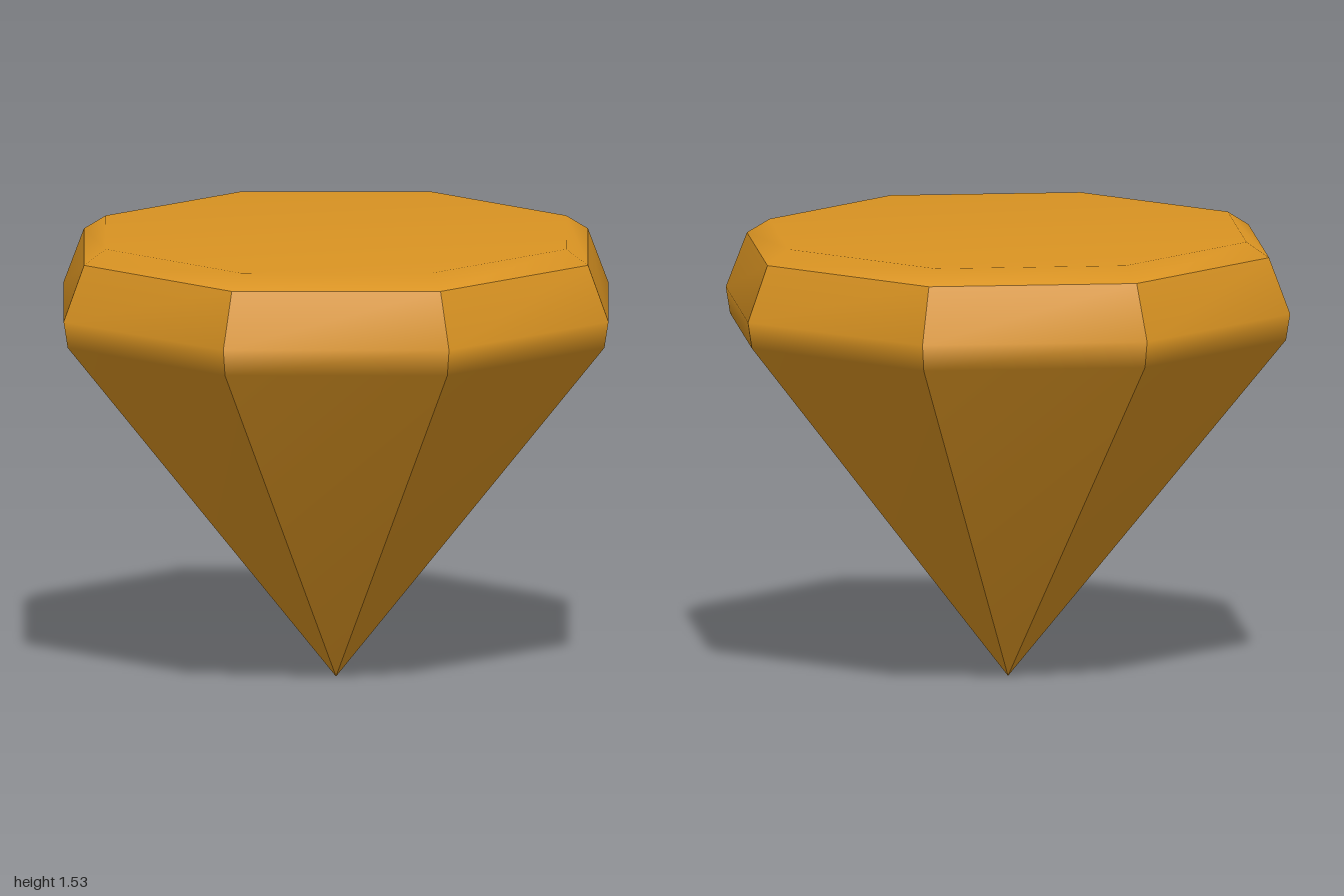
import * as THREE from 'three';

const SIDES = 8;

// Point on the octagonal ring, with corners on the x and z axes
function ringPoint(radius, y, i) {
  const a = (i / SIDES) * Math.PI * 2;
  return [radius * Math.sin(a), y, radius * Math.cos(a)];
}

function indexed(positions, index) {
  const geometry = new THREE.BufferGeometry();
  geometry.setAttribute('position', new THREE.Float32BufferAttribute(positions, 3));
  geometry.setIndex(index);
  geometry.computeVertexNormals();
  return geometry;
}

// One side: long lower facet, rounded over the girdle; hard edges to its neighbours
function sideFacet(i) {
  const profile = [[0.985, 1.2], [1, 1.29], [0.925, 1.48]];
  const positions = [0, 0, 0];
  const index = [0, 2, 1];
  profile.forEach(([r, y], k) => {
    positions.push(...ringPoint(r, y, i), ...ringPoint(r, y, i + 1));
    if (k === 0) return;
    const a = 2 * k - 1;
    index.push(a, a + 1, a + 3, a, a + 3, a + 2);
  });
  return indexed(positions, index);
}

// Top: flat table softly blended into a narrow bevel
function crown() {
  const positions = [0, 1.53, 0];
  const index = [];
  for (let i = 0; i < SIDES; i++) {
    positions.push(...ringPoint(0.845, 1.53, i), ...ringPoint(0.925, 1.48, i));
    const inner = 1 + 2 * i, outer = inner + 1;
    const nextInner = 1 + 2 * ((i + 1) % SIDES), nextOuter = nextInner + 1;
    index.push(0, inner, nextInner);
    index.push(outer, nextOuter, nextInner, outer, nextInner, inner);
  }
  return indexed(positions, index);
}

export function createModel() {
  const amber = new THREE.MeshStandardMaterial({ color: 0xd99322 });
  amber.name = 'amber';

  const gem = new THREE.Group();
  gem.name = 'gem';

  const sides = new THREE.Group();
  sides.name = 'sideFacets';
  for (let i = 0; i < SIDES; i++) {
    const facet = new THREE.Mesh(sideFacet(i), amber);
    facet.name = 'sideFacet' + (i + 1);
    sides.add(facet);
  }

  const top = new THREE.Mesh(crown(), amber);
  top.name = 'crown';

  gem.add(sides, top);
  return gem;
}
